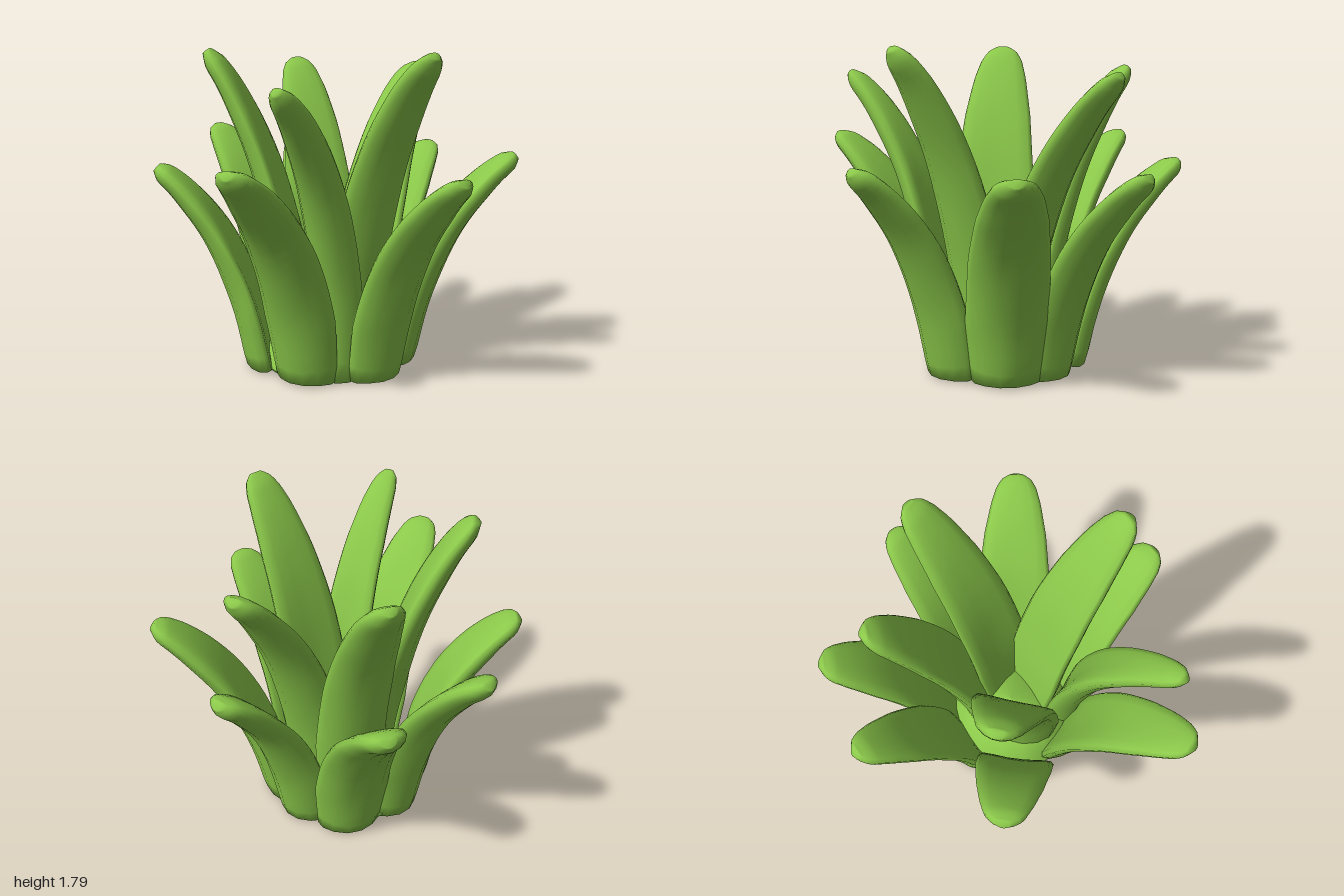
import * as THREE from 'three';

const RING = 14, STATIONS = 24;

// linear lookup through [t, value] pairs
function lookup(table, t) {
  for (let i = 1; i < table.length; i++) {
    const [t0, v0] = table[i - 1], [t1, v1] = table[i];
    if (t <= t1) return v0 + (v1 - v0) * (t - t0) / (t1 - t0);
  }
  return table[table.length - 1][1];
}

const WIDTH = [[0, 0.37], [0.25, 0.43], [0.55, 0.405], [0.75, 0.345], [0.88, 0.275], [0.95, 0.215], [0.985, 0.15], [1, 0.07]];
const THICK = [[0, 0.15], [0.3, 0.145], [0.8, 0.135], [0.96, 0.11], [1, 0.05]];
const CUP = [[0, 0.06], [0.4, 0.07], [0.8, 0.03], [1, 0.01]];

// fleshy leaf: cupped oval sections swept along an outward curving spine
function leafGeometry([bx, bz], [tx, ty, tz], widthScale = 1, bend = 1) {
  const spine = new THREE.CatmullRomCurve3(
    [[0, 0.01], [0.15, 0.35], [0.42, 0.67], [0.75, 0.89], [1, 1]].map(([f, h]) => {
      const out = Math.pow(f, bend);
      return new THREE.Vector3(bx + (tx - bx) * out, h * ty, bz + (tz - bz) * out);
    }));
  const side = new THREE.Vector3(tz - bz, 0, bx - tx).normalize();
  const pos = [], index = [];
  for (let i = 0; i <= STATIONS; i++) {
    const t = 1 - Math.pow(1 - i / STATIONS, 1.6); // denser near the tip
    const p = spine.getPointAt(t);
    const inward = spine.getTangentAt(t).cross(side).normalize();
    const w = widthScale * lookup(WIDTH, t) / 2, h = lookup(THICK, t) / 2, cup = lookup(CUP, t);
    for (let j = 0; j < RING; j++) {
      const a = j / RING * Math.PI * 2, c = Math.cos(a), s = Math.sin(a);
      const v = p.clone().addScaledVector(side, w * c)
        .addScaledVector(inward, h * s + cup * (c * c - 0.4));
      pos.push(v.x, Math.max(v.y, 0.01), v.z);
    }
  }
  for (let i = 0; i < STATIONS; i++) for (let j = 0; j < RING; j++) {
    const k = (j + 1) % RING, a = i * RING + j, b = i * RING + k;
    index.push(a, b, b + RING, a, b + RING, a + RING);
  }
  // close the base and the tip
  const base = pos.length / 3, last = STATIONS * RING, end = spine.getPointAt(1);
  pos.push(bx, 0.01, bz, end.x, end.y, end.z);
  for (let j = 0; j < RING; j++) {
    const k = (j + 1) % RING;
    index.push(base, k, j, base + 1, last + j, last + k);
  }
  const g = new THREE.BufferGeometry();
  g.setAttribute('position', new THREE.Float32BufferAttribute(pos, 3));
  g.setIndex(index);
  g.computeVertexNormals();
  return g;
}

export function createModel() {
  const group = new THREE.Group();
  group.name = 'succulentPlant';
  const leafGreen = new THREE.MeshStandardMaterial({ color: 0x8bc84a });
  leafGreen.name = 'leafGreen';

  const add = (name, geometry) => {
    const m = new THREE.Mesh(geometry, leafGreen);
    m.name = name;
    group.add(m);
  };

  // base [x, z], tip [x, y, z], optional width scale and bend of each leaf
  const outer = [
    [[0.06, 0.39], [0.14, 1.18, 0.98]],
    [[0.35, 0.2], [0.92, 1.18, 0.52], 1.04],
    [[0.37, -0.07], [0.94, 1.15, -0.26], 0.94],
    [[0.2, -0.32], [0.4, 1.14, -0.94]],
    [[-0.1, -0.34], [-0.17, 1.26, -0.98], 0.92],
    [[-0.35, -0.14], [-0.82, 1.14, -0.47], 1.06],
    [[-0.3, 0.21], [-0.94, 1.27, 0.56]],
  ];
  const inner = [
    [[0.05, 0.16], [0.13, 1.78, 0.74]],
    [[0.16, 0.07], [0.78, 1.65, -0.19]],
    [[0.08, -0.13], [0.23, 1.67, -0.69], 0.98],
    [[-0.15, -0.02], [-0.55, 1.77, -0.36], 1.13],
    [[-0.13, 0.29], [-0.69, 1.64, 0.59], 0.7, 1.2],
  ];
  outer.forEach((leaf, i) => add('outerLeaf' + (i + 1), leafGeometry(...leaf)));
  inner.forEach((leaf, i) => add('innerLeaf' + (i + 1), leafGeometry(...leaf)));

  // core joining the leaf bases
  const profile = [[0, 0.04], [0.38, 0], [0.4, 0.03], [0.28, 0.22], [0, 0.3]];
  add('core', new THREE.LatheGeometry(profile.map(([x, y]) => new THREE.Vector2(x, y)), 14));
  return group;
}
